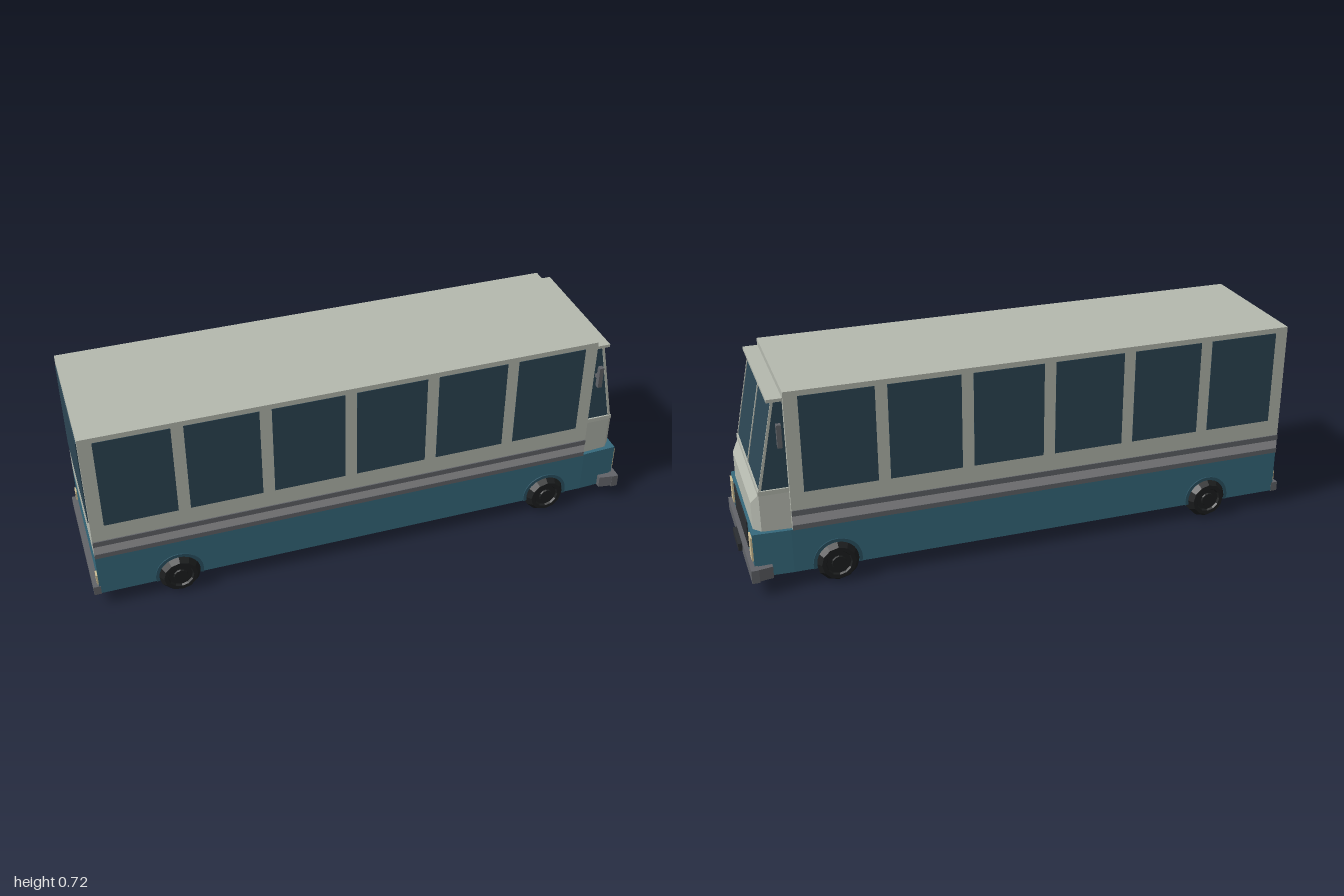
import * as THREE from 'three';

const CREAM = 0xb4b8ae, BLUE = 0x35697c, GLASS = 0x2c4553, STEEL = 0x616368,
  BLACK = 0x2a2d31, TAN = 0xcdbd94, RUBBER = 0x1c1e1f;

export function createModel() {
  const bus = new THREE.Group();
  bus.name = 'bus';

  function add(name, geometry, color) {
    const material = new THREE.MeshStandardMaterial({ color, flatShading: true });
    const mesh = new THREE.Mesh(geometry, material);
    mesh.name = name;
    bus.add(mesh);
    return mesh;
  }

  // Box given by its limits on each axis
  function box(name, color, x0, x1, y0, y1, z0, z1) {
    const mesh = add(name, new THREE.BoxGeometry(x1 - x0, y1 - y0, z1 - z0), color);
    mesh.position.set((x0 + x1) / 2, (y0 + y1) / 2, (z0 + z1) / 2);
    return mesh;
  }

  // Box on one side, and its mirror image on the other
  function pair(name, color, x0, x1, y0, y1, z0, z1) {
    box(name + 'Left', color, x0, x1, y0, y1, -z1, -z0);
    box(name + 'Right', color, x0, x1, y0, y1, z0, z1);
  }

  // Closed solid through level outlines: each level is [y, [[x, z], ...]],
  // the outline running counter-clockwise as seen from above
  function loft(name, color, levels) {
    const pos = [];
    const rings = levels.map(([y, pts]) => pts.map(([x, z]) => [x, y, z]));
    const n = rings[0].length, top = rings[rings.length - 1], bottom = rings[0];
    const tri = (a, b, c) => pos.push(...a, ...b, ...c);
    for (let i = 0; i + 1 < rings.length; i++) {
      for (let j = 0; j < n; j++) {
        const k = (j + 1) % n, low = rings[i], high = rings[i + 1];
        tri(low[j], low[k], high[k]);
        tri(low[j], high[k], high[j]);
      }
    }
    for (let j = 1; j + 1 < n; j++) {
      tri(top[0], top[j], top[j + 1]);
      tri(bottom[0], bottom[j + 1], bottom[j]);
    }
    const g = new THREE.BufferGeometry();
    g.setAttribute('position', new THREE.Float32BufferAttribute(pos, 3));
    g.computeVertexNormals();
    return add(name, g, color);
  }

  // Outline symmetric in z from its +z half
  const mirrored = half => [...half, ...half.map(([x, z]) => [x, -z]).reverse()];

  // Main shell
  const skirt = mirrored([[-0.98, 0.253], [0.84, 0.253], [0.97, 0.246]]);
  loft('lowerBody', BLUE, [[0.057, skirt], [0.219, skirt]]);
  box('floor', BLACK, -0.98, 0.965, 0.053, 0.057, -0.245, 0.245);
  box('upperBody', CREAM, -0.98, 0.835, 0.219, 0.717, -0.254, 0.254);

  // Side stripes
  pair('lowerStripe', STEEL, -0.98, 0.835, 0.219, 0.237, 0.253, 0.258);
  pair('middleStripe', 0xa2a2a5, -0.98, 0.835, 0.237, 0.271, 0.253, 0.2555);
  pair('upperStripe', STEEL, -0.98, 0.835, 0.271, 0.291, 0.253, 0.258);

  // Windows
  for (let i = 0; i < 6; i++) {
    const x = -0.934 + i * 0.294;
    pair('sideWindow' + (i + 1), GLASS, x, x + 0.252, 0.355, 0.698, 0.252, 0.2555);
  }
  box('rearWindow', GLASS, -0.983, -0.975, 0.36, 0.69, -0.23, 0.23);

  // Bonnet with bevelled corners and a sloping front lip
  const bonnet = mirrored([[0.83, 0.24], [0.935, 0.232], [0.96, 0.203]]);
  const bonnetTop = mirrored([[0.83, 0.24], [0.935, 0.232], [0.935, 0.231]]);
  loft('bonnet', CREAM, [[0.217, bonnet], [0.317, bonnet], [0.357, bonnetTop]]);
  box('windscreenSill', CREAM, 0.83, 0.938, 0.355, 0.371, -0.24, 0.24);

  // Slanted cab glass, its pillars and the sun visor
  const cab = x => mirrored([[0.83, 0.234], [x, 0.234]]);
  loft('cabGlass', GLASS, [[0.37, cab(0.932)], [0.685, cab(0.868)]]);
  function pillar(name, z0, z1) {
    const outline = x => [[x - 0.006, z1], [x + 0.003, z1], [x + 0.003, z0], [x - 0.006, z0]];
    loft(name, CREAM, [[0.37, outline(0.932)], [0.685, outline(0.868)]]);
  }
  pillar('windscreenDivider', -0.004, 0.004);
  pillar('pillarRight', 0.232, 0.237);
  pillar('pillarLeft', -0.237, -0.232);
  box('visor', CREAM, 0.83, 0.887, 0.683, 0.694, -0.246, 0.246);

  // Mirrors
  pair('mirrorArm', STEEL, 0.85, 0.86, 0.558, 0.57, 0.23, 0.255);
  pair('mirror', STEEL, 0.848, 0.864, 0.53, 0.611, 0.25, 0.268);

  // Front and rear fittings
  box('grille', BLACK, 0.955, 0.974, 0.121, 0.2185, -0.147, 0.147);
  pair('headlight', TAN, 0.955, 0.976, 0.118, 0.206, 0.195, 0.241);
  box('frontBumper', STEEL, 0.96, 0.986, 0.053, 0.101, -0.277, 0.277);
  for (const s of [1, -1]) {
    const end = [[0.912, 0.25], [0.912, 0.268], [0.97, 0.277], [0.97, 0.25]].map(([x, z]) => [x, s * z]);
    if (s < 0) end.reverse();
    loft(s > 0 ? 'bumperEndRight' : 'bumperEndLeft', STEEL, [[0.057, end], [0.101, end]]);
  }
  box('frontPlate', BLACK, 0.98, 1, 0.063, 0.091, -0.063, 0.063);
  box('rearBumper', STEEL, -1, -0.975, 0.055, 0.09, -0.254, 0.254);
  pair('tailLight', TAN, -0.986, -0.975, 0.096, 0.136, 0.222, 0.248);

  // Wheels with stepped hubs, and arches above them
  const tyre = [[0, 0.19], [0.062, 0.19], [0.075, 0.205], [0.075, 0.254], [0.06, 0.275],
    [0.046, 0.275], [0.042, 0.268], [0.026, 0.268], [0.024, 0.274], [0, 0.274]]
    .map(p => new THREE.Vector2(...p));
  const arch = new THREE.Shape();
  arch.absarc(0, 0, 0.085, -0.22, Math.PI + 0.22, false);
  arch.absarc(0, 0, 0.073, Math.PI + 0.22, -0.22, true);
  for (const [end, x] of [['rear', -0.7], ['front', 0.69]]) {
    for (const s of [1, -1]) {
      const side = s > 0 ? 'Right' : 'Left';
      const wheel = add(end + 'Wheel' + side, new THREE.LatheGeometry(tyre, 12), RUBBER);
      wheel.rotation.x = s * Math.PI / 2;
      wheel.position.set(x, 0.075, 0);
      const rim = new THREE.ExtrudeGeometry(arch, { depth: 0.007, bevelEnabled: false, curveSegments: 8 });
      const mesh = add(end + 'Arch' + side, rim, 0x2a5262);
      mesh.position.set(x, 0.075, s > 0 ? 0.25 : -0.257);
    }
  }
  return bus;
}
